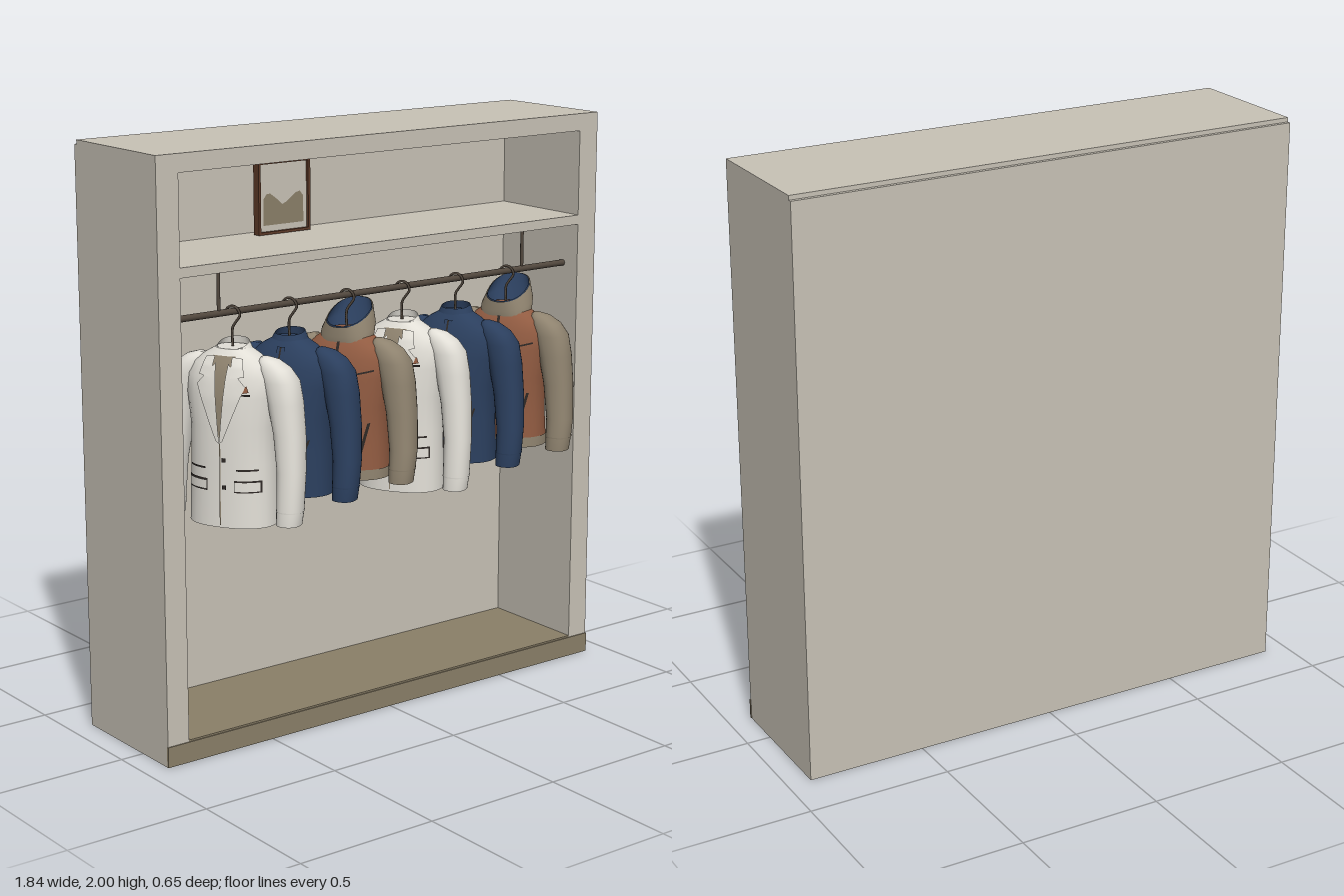
import * as THREE from 'three';

const mat = (name, color, side = THREE.FrontSide) => {
  const m = new THREE.MeshStandardMaterial({ color, side });
  m.name = name;
  return m;
};
const D = THREE.DoubleSide;
const M = {
  panel: mat('warm grey panel', 0xc8c2b6),
  plinth: mat('olive brown board', 0x8a7f68),
  metal: mat('dark bronze metal', 0x51473d),
  wood: mat('dark wood frame', 0x5e3a28),
  ivory: mat('ivory cloth', 0xe2dfd7, D),
  navy: mat('navy cloth', 0x2b3f5e, D),
  rust: mat('rust cloth', 0x925c42, D),
  taupe: mat('taupe cloth', 0x8f836f, D),
  trim: mat('dark trim', 0x2e2825, D),
};

function add(parent, name, geo, material, x = 0, y = 0, z = 0) {
  const m = new THREE.Mesh(geo, material);
  m.name = name;
  m.position.set(x, y, z);
  parent.add(m);
  return m;
}

// Box given by its limits on each axis
function slab(parent, name, material, [x0, x1], [y0, y1], [z0, z1]) {
  return add(parent, name, new THREE.BoxGeometry(x1 - x0, y1 - y0, z1 - z0), material,
    (x0 + x1) / 2, (y0 + y1) / 2, (z0 + z1) / 2);
}

// Skin over rounded rings, lowest first: [y, halfWidth, halfDepth, cx, cz, tilt]
const POW = 2.3, SIDES = 28;
function loft(rings, caps = true) {
  const pos = [], idx = [];
  const sp = (v) => Math.sign(v) * Math.abs(v) ** (2 / POW);
  const ring = ([y, a, b, cx = 0, cz = 0, tilt = 0]) => {
    for (let j = 0; j < SIDES; j++) {
      const t = (j / SIDES) * Math.PI * 2, z = b * sp(Math.sin(t));
      pos.push(cx + a * sp(Math.cos(t)), y + tilt * z, cz + z);
    }
  };
  rings.forEach(ring);
  for (let i = 0; i < rings.length - 1; i++) {
    for (let j = 0; j < SIDES; j++) {
      const p = i * SIDES + j, q = i * SIDES + (j + 1) % SIDES;
      idx.push(p, p + SIDES, q, q, p + SIDES, q + SIDES);
    }
  }
  if (caps) {
    [rings[0], rings[rings.length - 1]].forEach((r, top) => {
      const s = pos.length / 3;
      ring(r);
      pos.push(r[3] || 0, r[0], r[4] || 0);
      for (let j = 0; j < SIDES; j++) {
        const k = (j + 1) % SIDES;
        idx.push(s + SIDES, top ? s + k : s + j, top ? s + j : s + k);
      }
    });
  }
  const g = new THREE.BufferGeometry();
  g.setAttribute('position', new THREE.Float32BufferAttribute(pos, 3));
  g.setIndex(idx);
  g.computeVertexNormals();
  return g;
}

// Four-cornered cloth patch laid on the front of a lofted body
function patch(rings, corners, lift = 0.004) {
  const g = new THREE.PlaneGeometry(1, 1, 6, 10), p = g.attributes.position;
  const [A, B, C, E] = corners;
  for (let i = 0; i < p.count; i++) {
    const u = p.getX(i) + 0.5, v = p.getY(i) + 0.5;
    const [x, y] = [0, 1].map((k) => (1 - v) * ((1 - u) * A[k] + u * B[k]) + v * ((1 - u) * E[k] + u * C[k]));
    let n = 0;
    while (n < rings.length - 2 && y > rings[n + 1][0]) n++;
    const r = rings[n], s = rings[n + 1];
    const f = THREE.MathUtils.clamp((y - r[0]) / (s[0] - r[0]), 0, 1);
    const a = r[1] + (s[1] - r[1]) * f, b = r[2] + (s[2] - r[2]) * f;
    const z = b * (1 - Math.min(1, Math.abs(x / a)) ** POW) ** (1 / POW);
    p.setXYZ(i, x, y, z + lift);
  }
  g.computeVertexNormals();
  return g;
}
const rect = (x0, x1, y0, y1) => [[x0, y0], [x1, y0], [x1, y1], [x0, y1]];
const mirror = (c) => c.map(([x, y]) => [-x, y]);

// Body and sleeves shared by every garment
function garment(name, hem, cuff, bodyMat, sleeveMat) {
  const g = new THREE.Group();
  g.name = name;
  const rings = [[hem, 0.15, 0.108], [0.98, 0.143, 0.104], [1.1, 0.142, 0.104], [1.2, 0.155, 0.1],
    [1.26, 0.155, 0.09], [1.3, 0.13, 0.078], [1.33, 0.09, 0.062], [1.35, 0.055, 0.05]];
  add(g, 'body', loft(rings), bodyMat);
  for (const s of [1, -1]) {
    add(g, s > 0 ? 'leftSleeve' : 'rightSleeve', loft([
      [cuff, 0.04, 0.046, s * 0.21, 0.035], [cuff + 0.05, 0.043, 0.049, s * 0.213, 0.032],
      [0.96, 0.045, 0.053, s * 0.212, 0.018], [1.08, 0.05, 0.058, s * 0.2, 0.004],
      [1.18, 0.056, 0.062, s * 0.184, -0.002], [1.25, 0.06, 0.06, s * 0.168, -0.002],
      [1.29, 0.052, 0.05, s * 0.148, 0], [1.315, 0.034, 0.034, s * 0.128, 0], [1.325, 0.012, 0.014, s * 0.115, 0],
    ]), sleeveMat);
    add(g, 'cuffSeam', loft([[cuff + 0.045, 0.044, 0.05, s * 0.213, 0.032],
      [cuff + 0.049, 0.0442, 0.0502, s * 0.213, 0.032]], false), sleeveMat);
  }
  // Hook over the rail
  const arc = [[0, 1.34], [0, 1.41], [0.012, 1.43], [0.026, 1.452], [0.018, 1.473], [0, 1.481], [-0.018, 1.473], [-0.026, 1.453]];
  const path = new THREE.CatmullRomCurve3(arc.map(([x, y]) => new THREE.Vector3(x, y, 0)));
  add(g, 'hangerHook', new THREE.TubeGeometry(path, 28, 0.0045, 6), M.metal);
  return { g, rings, on: (n, c, m, lift) => add(g, n, patch(rings, c, lift), m) };
}

function blazer() {
  const { g, on } = garment('ivoryBlazer', 0.77, 0.785, M.ivory, M.ivory);
  add(g, 'collar', loft([[1.325, 0.075, 0.062, 0, 0, 0.1], [1.36, 0.05, 0.05, 0, -0.005, -0.25]], false), M.ivory);
  on('neckOpening', [[-0.004, 1.07], [0.004, 1.07], [0.04, 1.33], [-0.04, 1.33]], M.taupe, 0.003);
  const lapel = [[0.0, 1.05], [0.012, 1.06], [0.085, 1.24], [0.022, 1.31]];
  const notch = [[0.035, 1.265], [0.08, 1.27], [0.065, 1.325], [0.03, 1.33]];
  for (const f of [(c) => c, mirror]) {
    on('lapel', f(lapel), M.ivory, 0.009);
    on('upperLapel', f(notch), M.ivory, 0.009);
    on('pocketFlap', f(rect(0.05, 0.125, 0.895, 0.925)), M.ivory, 0.007);
    on('pocketEdge', f(rect(0.047, 0.128, 0.89, 0.93)), M.trim, 0.003);
    on('ticketPocketSeam', f(rect(0.055, 0.12, 0.962, 0.968)), M.trim, 0.004);
  }
  on('frontSeam', rect(-0.002, 0.002, 0.78, 1.05), M.taupe);
  on('pocketSquare', [[0.052, 1.215], [0.095, 1.222], [0.088, 1.242], [0.06, 1.238]], M.rust, 0.006);
  on('chestPocketSeam', rect(0.048, 0.1, 1.21, 1.216), M.trim, 0.006);
  for (const y of [0.9, 0.99]) on('button', rect(0.008, 0.022, y, y + 0.014), M.trim, 0.007);
  return g;
}

function navyJacket() {
  const { g, on } = garment('navyJacket', 0.835, 0.83, M.navy, M.navy);
  add(g, 'standCollar', loft([[1.325, 0.07, 0.06], [1.37, 0.048, 0.05, 0, -0.004, -0.1]], false), M.navy);
  on('placket', rect(-0.014, 0.014, 0.84, 1.33), M.navy, 0.006);
  on('frontZip', rect(-0.003, 0.003, 0.84, 1.33), M.trim, 0.009);
  for (const f of [(c) => c, mirror]) {
    on('pocketSeam', f([[0.07, 0.93], [0.076, 0.93], [0.106, 1.03], [0.1, 1.03]]), M.trim);
  }
  return g;
}

function hoodedJacket() {
  const { g, on } = garment('rustJacket', 0.86, 0.85, M.rust, M.taupe);
  // Tall collar leaning back, with a contrasting lining
  add(g, 'hood', loft([[1.315, 0.09, 0.072], [1.355, 0.088, 0.09, 0, -0.015, -0.25],
    [1.4, 0.07, 0.1, 0, -0.025, -0.35]], false), M.taupe);
  add(g, 'hoodLining', loft([[1.33, 0.05, 0.05, 0, -0.005], [1.36, 0.08, 0.08, 0, -0.015, -0.25],
    [1.402, 0.066, 0.095, 0, -0.025, -0.35]], false), M.navy);
  add(g, 'hemBand', loft([[0.855, 0.153, 0.111], [0.89, 0.152, 0.11]], false), M.taupe);
  on('frontZip', rect(-0.005, 0.005, 0.865, 1.32), M.trim);
  for (const f of [(c) => c, mirror]) {
    on('pocketZip', f([[0.08, 0.94], [0.09, 0.94], [0.115, 1.05], [0.107, 1.05]]), M.trim);
    on('chestSeam', f([[0.012, 1.2], [0.125, 1.225], [0.125, 1.231], [0.012, 1.206]]), M.trim);
  }
  return g;
}

export function createModel() {
  const root = new THREE.Group();
  root.name = 'wardrobe';

  // Carcass
  const box = new THREE.Group();
  box.name = 'cabinet';
  root.add(box);
  const W = 0.917, I = 0.835, F = 0.155, B = -0.245;
  for (const s of [1, -1]) {
    slab(box, 'sidePanel', M.panel, s > 0 ? [I, W] : [-W, -I], [0, 2], [-0.312, F]);
  }
  slab(box, 'topPanel', M.panel, [-I, I], [1.94, 2], [-0.312, F]);
  slab(box, 'shelf', M.panel, [-I, I], [1.61, 1.643], [B, F]);
  slab(box, 'backWall', M.panel, [-I, I], [0, 1.94], [-0.312, B]);
  slab(box, 'backPanel', M.panel, [-W, W], [0, 1.985], [-0.325, -0.312]);
  slab(box, 'bottomRail', M.panel, [-I, I], [0, 0.012], [0.075, F]);
  slab(box, 'floorBoard', M.plinth, [-I, I], [0.012, 0.078], [B, F]);
  slab(box, 'plinthFront', M.plinth, [-W - 0.002, W + 0.002], [0.002, 0.072], [F - 0.004, F + 0.004]);

  // Hanging rail and its brackets
  const rail = add(root, 'rail', new THREE.CylinderGeometry(0.011, 0.011, 2 * I, 16), M.metal, 0, 1.463, 0.08);
  rail.rotation.z = Math.PI / 2;
  for (const x of [-0.643, 0.64]) {
    add(root, 'railBracket', new THREE.CylinderGeometry(0.006, 0.006, 0.15, 10), M.metal, x, 1.54, 0.08);
  }

  // Garments, turned on the rail
  [-0.59, -0.365, -0.13, 0.105, 0.34, 0.57].forEach((x, i) => {
    const g = [blazer, navyJacket, hoodedJacket][i % 3]();
    g.position.set(x, 0, 0.08);
    g.rotation.y = -Math.PI / 3;
    root.add(g);
  });

  // Picture standing on the shelf
  const pic = new THREE.Group();
  pic.name = 'picture';
  pic.position.set(-0.205, 1.768, -0.18);
  root.add(pic);
  slab(pic, 'pictureBoard', M.panel, [-0.1, 0.1], [-0.118, 0.118], [-0.012, 0.004]);
  for (const s of [1, -1]) {
    add(pic, 'frameSide', new THREE.BoxGeometry(0.009, 0.246, 0.03), M.wood, s * 0.102, 0, 0);
    add(pic, 'frameRail', new THREE.BoxGeometry(0.2, 0.009, 0.03), M.wood, 0, s * 0.1185, 0);
  }
  const hills = new THREE.Shape([[-0.082, -0.093], [0.082, -0.093], [0.082, -0.005], [0.068, 0.013], [0.05, 0.008],
    [0.022, -0.012], [0.01, -0.02], [-0.005, -0.026], [-0.03, -0.004], [-0.055, 0.014], [-0.07, 0.012], [-0.082, -0.005]]
    .map(([x, y]) => new THREE.Vector2(x, y)));
  add(pic, 'hills', new THREE.ShapeGeometry(hills), M.plinth, 0, 0, 0.007);
  return root;
}
